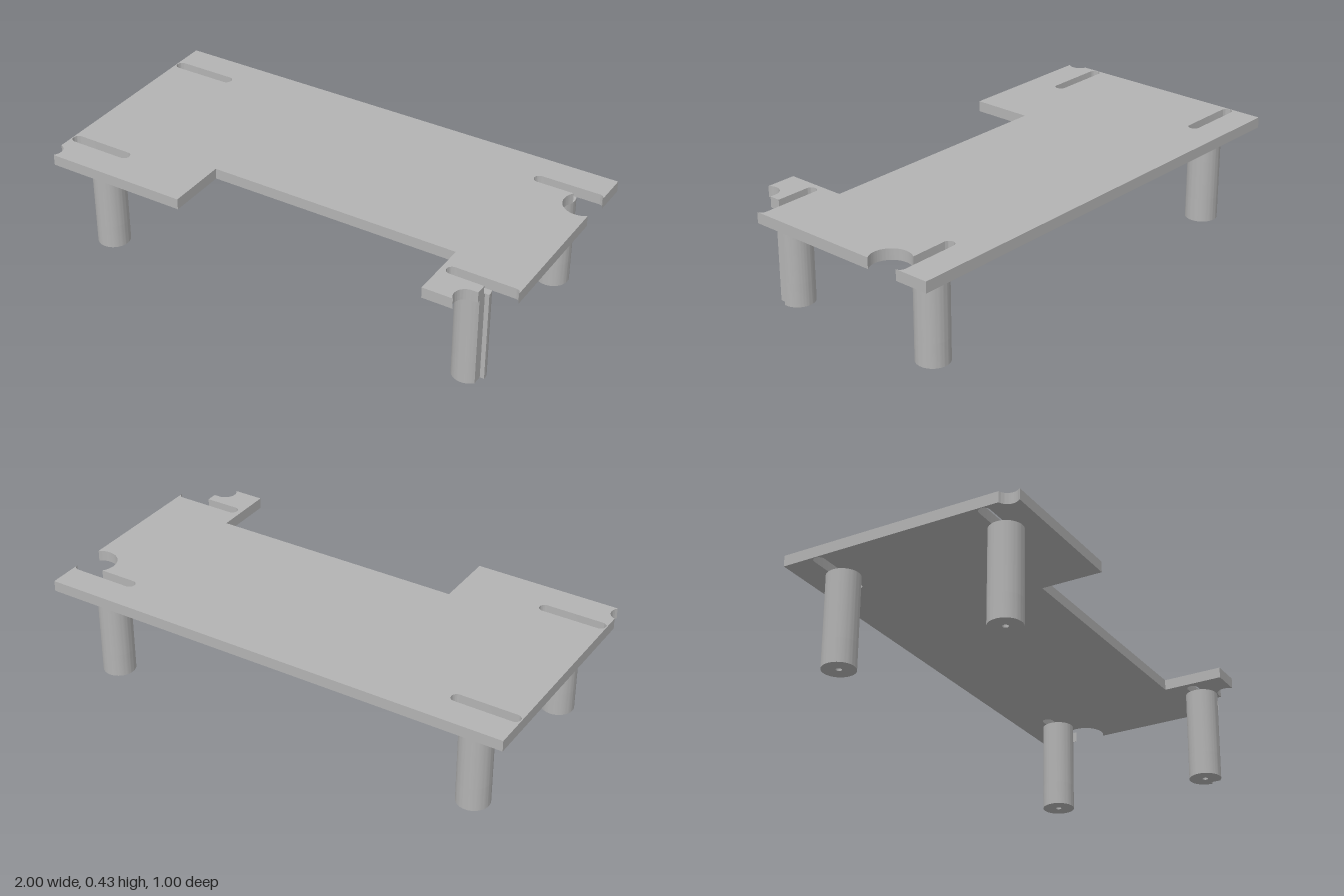
import * as THREE from 'three';
import { toCreasedNormals } from 'three/addons/utils/BufferGeometryUtils.js';

const PLATE_TOP = 0.43, PLATE_BOTTOM = 0.385;
const LEG_R = 0.067, BORE_R = 0.012, BORE_DEPTH = 0.1;
const SLOT_R = 0.023;

// Extrude an (x, z) plan shape vertically between two heights
function slab(shape, y0, y1) {
  const geo = new THREE.ExtrudeGeometry(shape, { depth: y1 - y0, bevelEnabled: false, curveSegments: 32 });
  geo.rotateX(Math.PI / 2);
  geo.translate(0, y1, 0);
  return toCreasedNormals(geo, 0.5);
}

// Closed slot with round ends, used as a hole
function slotPath(x0, x1, z) {
  const p = new THREE.Path();
  p.absarc(x0 + SLOT_R, z, SLOT_R, Math.PI / 2, Math.PI * 1.5, false);
  p.absarc(x1 - SLOT_R, z, SLOT_R, -Math.PI / 2, Math.PI / 2, false);
  p.closePath();
  return p;
}

// Plate outline: recessed front edge, corner bites, right slots open to the edge
function plateShape() {
  const s = new THREE.Shape();
  const backZ = -0.357, frontZ = 0.353, slotX = 0.734, endX = 0.977;
  s.moveTo(-1, -0.5);
  s.lineTo(1, -0.5);
  s.lineTo(1, backZ);
  // back right slot, running into the round cut-out
  s.absarc(endX, backZ, SLOT_R, 0, -Math.PI / 2, true);
  s.absarc(slotX, backZ, SLOT_R, -Math.PI / 2, -Math.PI * 1.5, true);
  const cx = 0.953, cz = -0.285, r = 0.08;
  const a0 = Math.PI + Math.asin((cz - backZ - SLOT_R) / r);
  s.absarc(cx, cz, r, a0, Math.acos((1 - cx) / r), true);
  // front right slot, open to the corner cut
  s.lineTo(1, frontZ);
  s.absarc(endX, frontZ, SLOT_R, 0, -Math.PI / 2, true);
  s.absarc(slotX, frontZ, SLOT_R, -Math.PI / 2, -Math.PI * 1.5, true);
  s.lineTo(0.875, frontZ + SLOT_R);
  s.lineTo(0.875, 0.421);
  // front right bite
  s.absarc(0.85, 0.468, 0.047, -Math.PI / 2, -Math.PI * 1.24, true);
  s.lineTo(0.81, 0.5);
  s.lineTo(0.69, 0.5);
  s.lineTo(0.69, 0.245);
  s.lineTo(-0.375, 0.245);
  s.lineTo(-0.375, 0.5);
  // front left bite
  s.lineTo(-0.978, 0.5);
  s.absarc(-1.012, 0.468, 0.044, 0.75, -1.29, true);
  s.closePath();
  s.holes.push(slotPath(-0.996, -0.717, backZ), slotPath(-0.996, -0.717, frontZ));
  return s;
}

// Leg section; the notched one has a vertical corner cut away
function legShape(notched) {
  const s = new THREE.Shape();
  if (notched) {
    const cutX = 0.049, cutZ = 0.005;
    s.absarc(0, 0, LEG_R, Math.acos(cutX / LEG_R), Math.PI * 2 + Math.asin(cutZ / LEG_R), false);
    s.lineTo(cutX, cutZ);
    s.closePath();
  } else {
    s.absarc(0, 0, LEG_R, 0, Math.PI * 2, false);
  }
  return s;
}

function makeLeg(name, x, z, notched, material) {
  const leg = new THREE.Group();
  leg.name = name;
  // lower part carries a small blind bore
  const bored = legShape(notched);
  bored.holes.push(new THREE.Path().absarc(0, 0, BORE_R, 0, Math.PI * 2, true));
  const foot = new THREE.Mesh(slab(bored, 0, BORE_DEPTH), material);
  foot.name = name + 'Foot';
  const post = new THREE.Mesh(slab(legShape(notched), BORE_DEPTH, PLATE_BOTTOM), material);
  post.name = name + 'Post';
  leg.add(foot, post);
  leg.position.set(x, 0, z);
  return leg;
}

export function createModel() {
  const model = new THREE.Group();
  model.name = 'slottedPlateOnLegs';
  const grey = new THREE.MeshStandardMaterial({ color: 0xb3b3b3 });
  grey.name = 'plain grey';

  const plate = new THREE.Mesh(slab(plateShape(), PLATE_BOTTOM, PLATE_TOP), grey);
  plate.name = 'plate';
  model.add(plate);

  const legs = [
    ['backRightLeg', -0.825, -0.354, false],
    ['frontRightLeg', -0.825, 0.354, false],
    ['backLeftLeg', 0.822, -0.354, false],
    ['frontLeftLeg', 0.822, 0.354, true],
  ];
  for (const [name, x, z, notched] of legs) model.add(makeLeg(name, x, z, notched, grey));
  return model;
}
